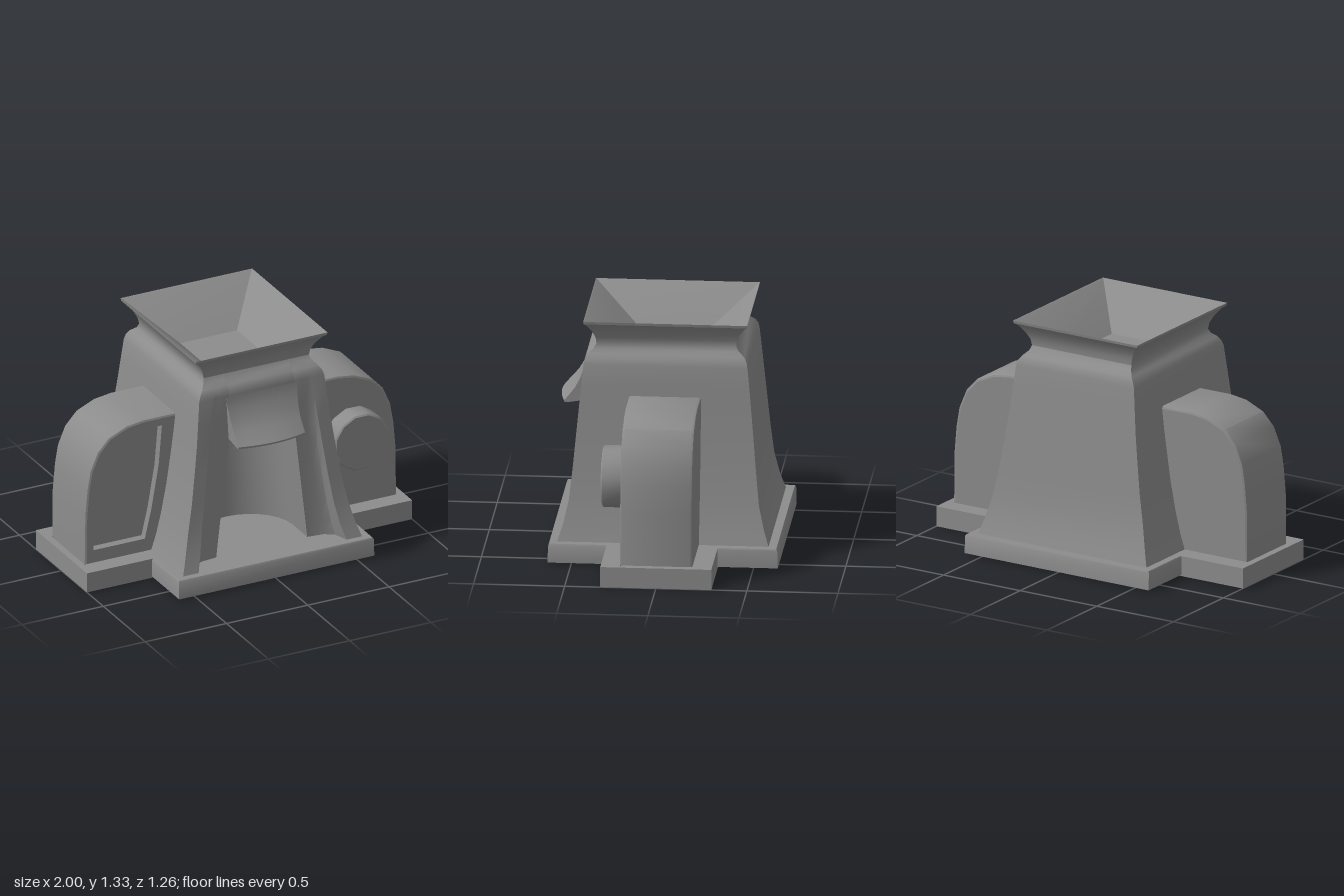
import * as THREE from 'three';
import { toCreasedNormals } from 'three/addons/utils/BufferGeometryUtils.js';

const material = new THREE.MeshStandardMaterial({ color: 0x8c8c8c, side: THREE.DoubleSide });

function add(parent, name, geometry, crease = 0.55) {
  const mesh = new THREE.Mesh(toCreasedNormals(geometry, crease), material);
  mesh.name = name;
  parent.add(mesh);
  return mesh;
}

// Skin between rows of [x, y, z] points
function loft(rows, closed = false) {
  const n = rows[0].length, index = [];
  for (let j = 0; j < rows.length - 1; j++) {
    for (let i = 0; i < (closed ? n : n - 1); i++) {
      const a = j * n + i, b = j * n + (i + 1) % n;
      index.push(a, b, b + n, a, b + n, a + n);
    }
  }
  const g = new THREE.BufferGeometry();
  g.setAttribute('position', new THREE.Float32BufferAttribute(rows.flat(2), 3));
  g.setIndex(index);
  g.computeVertexNormals();
  return g;
}

const rect = (x0, x1, z0, z1, y) => [[x0, y, z1], [x1, y, z1], [x1, y, z0], [x0, y, z0]];
const shapeOf = (pts) => new THREE.Shape(pts.map(([x, y]) => new THREE.Vector2(x, y)));

// Flat face with an optional hole
function face(points, hole) {
  const shape = shapeOf(points);
  if (hole) shape.holes.push(shapeOf(hole));
  return new THREE.ShapeGeometry(shape);
}

// Height, half width and half depth of the tower
const profile = [
  [0.115, 0.55, 0.58], [0.2, 0.522, 0.552], [0.33, 0.49, 0.522], [0.5, 0.457, 0.504],
  [0.7, 0.428, 0.486], [0.82, 0.412, 0.475], [0.95, 0.398, 0.463], [1.08, 0.384, 0.45],
  [1.11, 0.374, 0.444], [1.135, 0.355, 0.43], [1.16, 0.332, 0.398], [1.185, 0.324, 0.384],
  [1.22, 0.331, 0.388], [1.26, 0.351, 0.405], [1.3, 0.381, 0.431], [1.315, 0.402, 0.447],
  [1.33, 0.405, 0.45],
];
const mix = THREE.MathUtils.lerp;
const recessZ = (hz) => Math.min(hz, 0.45);
const openingX = (y) => mix(0.28, 0.2, Math.min(1, (y - 0.115) / 0.705));
const ribX = (y, hx) => Math.min(hx - 0.06, mix(0.455, 0.305, Math.min(1, Math.pow((y - 0.115) / 0.965, 0.75))));

// Plan of the tower wall, open at the front recess
function shellRow([y, hx, hz]) {
  const w = openingX(y), xi = ribX(y, hx), zr = recessZ(hz);
  const half = [[w, zr], [mix(xi, w, 0.45), mix(zr, hz, 0.08)], [mix(xi, w, 0.15), mix(zr, hz, 0.35)],
    [xi, hz], [hx, hz], [hx, -hz]];
  const other = half.map(([x, z]) => [-x, z]).reverse();
  return [...half, ...other].map(([x, z]) => [x, y, z]);
}

// Plan of the U-shaped alcove; its roof falls towards the back
function alcoveRow(y, roof = false) {
  const w = openingX(y), pts = [[-w, 0.45]];
  for (let i = 0; i <= 14; i++) {
    const a = Math.PI * i / 14;
    pts.push([-w * Math.cos(a), 0.27 - 0.25 * Math.sin(a)]);
  }
  pts.push([w, 0.45]);
  return pts.map(([x, z]) => [x, roof ? mix(0.73, 0.82, (z - 0.02) / 0.43) : y, z]);
}

// Rounded motor housing, hollow and open below; side is 1 or -1
const wingOutline = [[0.52, 0.115], [0.96, 0.115], [0.958, 0.4], [0.944, 0.56], [0.925, 0.67], [0.88, 0.775],
  [0.81, 0.85], [0.7, 0.898], [0.6, 0.912], [0.36, 0.912]];
const windowOutline = [[0.59, 0.19], [0.905, 0.19], [0.902, 0.4], [0.885, 0.56], [0.855, 0.69], [0.8, 0.785],
  [0.73, 0.84], [0.62, 0.862], [0.485, 0.855], [0.505, 0.62], [0.55, 0.36]];

function housing(parent, name, side, hasWindow) {
  const group = new THREE.Group();
  group.name = name;
  parent.add(group);
  const orient = (pts) => side > 0 ? pts : pts.map(([x, y]) => [-x, y]).reverse();
  const inset = (pts, d) => pts.map(([x, y]) => [0.5 + (x - 0.5) * (1 - d / 0.46), 0.115 + (y - 0.115) * (1 - d / 0.8)]);
  const row = (pts, z) => orient(pts).map(([x, y]) => [x, y, z]);
  const rim = wingOutline.slice(1);
  add(group, 'housingRim', loft([[0.014, -0.197], [0.004, -0.193], [0, -0.183], [0, 0.186], [0.004, 0.196], [0.014, 0.2]]
    .map(([d, z]) => row(inset(rim, d), z))));
  const panel = orient(inset(wingOutline, 0.014));
  add(group, 'housingBack', face(panel).translate(0, 0, -0.197));
  add(group, 'housingFront', face(panel, hasWindow && orient(windowOutline)).translate(0, 0, 0.2));
  if (hasWindow) {
    const pane = windowOutline.map(([x, y]) => [0.7 + (x - 0.7) * 0.95, 0.52 + (y - 0.52) * 0.97]);
    add(group, 'windowFrame', loft([row(windowOutline, 0.2), row(pane, 0.17)], true));
    add(group, 'windowPane', face(orient(pane)).translate(0, 0, 0.17));
  }
}

export function createModel() {
  const model = new THREE.Group();
  model.name = 'hopperMachine';

  // Base: hollow plinth with a top around the tower and housings
  const base = new THREE.Group();
  base.name = 'base';
  model.add(base);
  add(base, 'plinthWalls', loft([rect(-0.6, 0.6, -0.635, 0.63, 0.008), rect(-0.6, 0.6, -0.632, 0.625, 0.105),
    rect(-0.594, 0.594, -0.626, 0.619, 0.115)], true));
  const footprint = [...shellRow(profile[0]), ...alcoveRow(0.115).slice(1, -1)].map(([x, , z]) => [x, -z]);
  const layFlat = (g) => g.rotateX(-Math.PI / 2).translate(0, 0.115, 0);
  add(base, 'plinthTop', layFlat(face([[-0.594, -0.619], [0.594, -0.619], [0.594, 0.626], [-0.594, 0.626]], footprint)));
  for (const s of [1, -1]) {
    const walls = [0, 0.115].map((y) => {
      const p = [[0.48, 0.305], [1, 0.305], [1, -0.305], [0.48, -0.305]].map(([x, z]) => [s * x, y, z]);
      return s > 0 ? p : p.reverse();
    });
    add(base, 'sidePlinthWalls', loft(walls));
    const top = [[0.59, 0.305], [1, 0.305], [1, -0.305], [0.59, -0.305]];
    const hole = [[0.6, 0.199], [0.959, 0.199], [0.959, -0.196], [0.6, -0.196]];
    const place = (pts) => pts.map(([x, z]) => [s * x, -z]);
    add(base, 'sidePlinthTop', layFlat(face(place(top), place(hole))));
  }

  // Tower with flared rim
  add(model, 'towerShell', loft(profile.map(shellRow)));
  add(model, 'frontPanel', loft(profile.filter((p) => p[0] >= 0.82).map(([y, , hz]) => {
    const w = openingX(y), z = recessZ(hz);
    return [[-w, y, z], [w, y, z]];
  })));

  // Hopper funnel inside the rim
  add(model, 'hopperFunnel', loft([rect(-0.405, 0.405, -0.45, 0.45, 1.33), rect(-0.395, 0.395, -0.44, 0.44, 1.325),
    rect(-0.175, 0.175, -0.185, 0.185, 1.12)], true), 0.3);
  add(model, 'hopperFloor', new THREE.PlaneGeometry(0.35, 0.37).rotateX(-Math.PI / 2).translate(0, 1.12, 0));

  // Alcove under the spout
  const roof = alcoveRow(0.82, true);
  add(model, 'alcoveWall', loft([alcoveRow(0.115), alcoveRow(0.33), alcoveRow(0.6), roof]), 0.7);
  add(model, 'alcoveRoof', loft(roof.slice(0, 8).map((p, i) => [p, roof[roof.length - 1 - i]])));

  // Spout with a bowed lip
  const side = shapeOf([[0.43, 1.09], [0.449, 1.08], [0.454, 1.04], [0.468, 1.0], [0.492, 0.945], [0.53, 0.888],
    [0.6, 0.818], [0.598, 0.807], [0.575, 0.806], [0.47, 0.82], [0.43, 0.82]]);
  const spout = new THREE.ExtrudeGeometry(side, { depth: 0.41, steps: 8, bevelEnabled: false })
    .rotateY(-Math.PI / 2).translate(0.205, 0, 0);
  const pos = spout.attributes.position;
  for (let i = 0; i < pos.count; i++) {
    const z = pos.getZ(i), t = Math.abs(pos.getX(i)) / 0.205;
    pos.setZ(i, z - Math.max(0, z - 0.45) * 0.2 * t * t);
    pos.setX(i, pos.getX(i) * (1 + 0.06 * Math.max(0, (pos.getY(i) - 0.9) / 0.15)));
  }
  add(model, 'spout', spout);

  // Left housing with round knob, right housing with a sunken window
  housing(model, 'leftHousing', 1, false);
  housing(model, 'rightHousing', -1, true);
  const knob = new THREE.LatheGeometry([[0, 0.18], [0.17, 0.18], [0.17, 0.308], [0.162, 0.316], [0, 0.316]]
    .map(([r, y]) => new THREE.Vector2(r, y)), 12);
  add(model, 'knob', knob.rotateY(Math.PI / 12).rotateX(Math.PI / 2), 0.6).position.set(0.688, 0.54, 0);

  return model;
}
